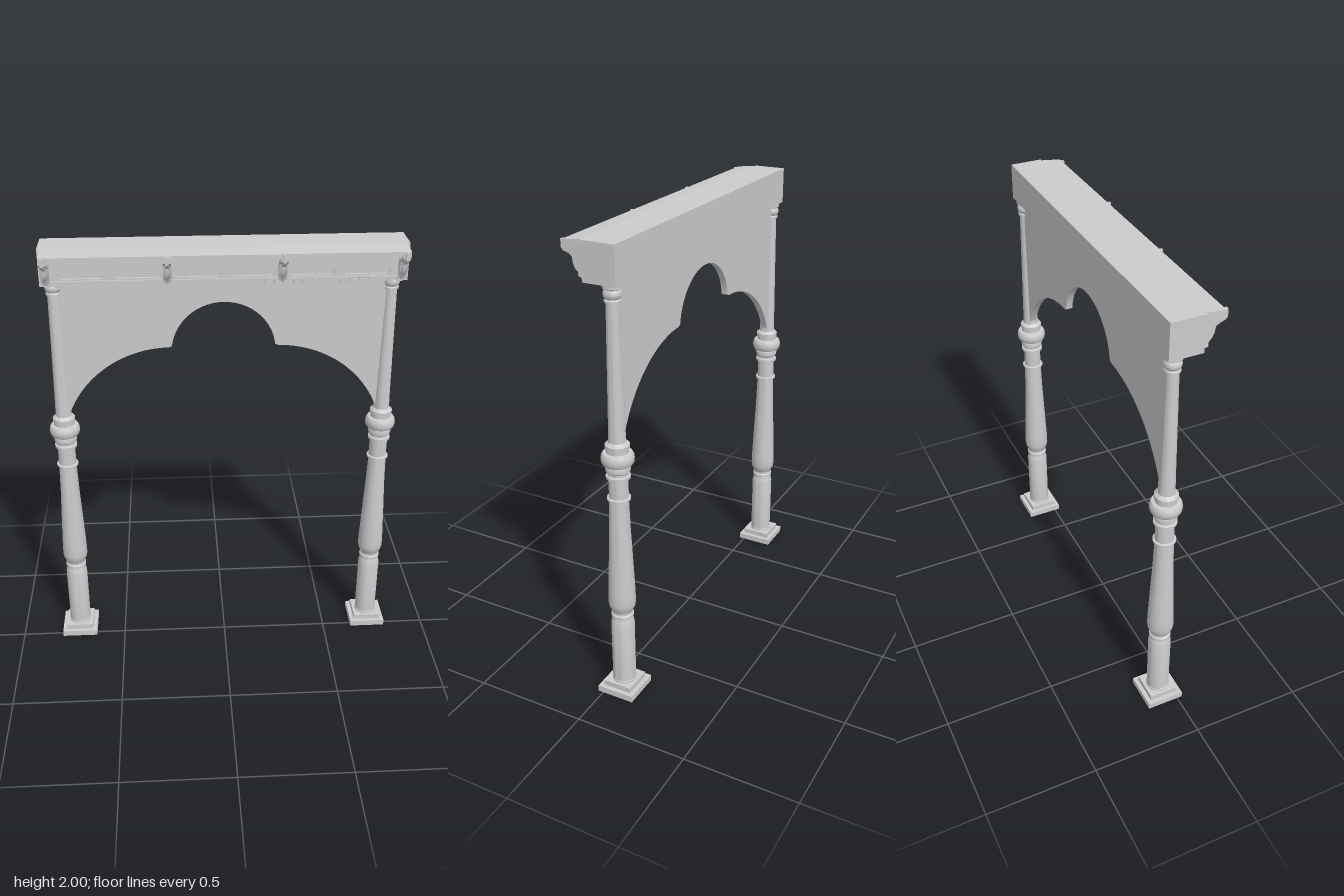
import * as THREE from 'three';
import { toCreasedNormals } from 'three/addons/utils/BufferGeometryUtils.js';

const material = new THREE.MeshStandardMaterial({ color: 0xcccccc });
const COL_X = 0.722, COL_Z = -0.06;

function add(parent, name, geometry, x = 0, y = 0, z = 0) {
  const mesh = new THREE.Mesh(geometry, material);
  mesh.name = name;
  mesh.position.set(x, y, z);
  parent.add(mesh);
  return mesh;
}

const vec = (pts) => pts.map(([x, y]) => new THREE.Vector2(x, y));

function extrude(shape, depth) {
  const g = new THREE.ExtrudeGeometry(shape, { depth, bevelEnabled: false, curveSegments: 10 });
  return toCreasedNormals(g, 0.5);
}

// Profile given as [z, y], swept along x and centred.
function sweepX(profile, width) {
  const g = extrude(new THREE.Shape(vec(profile)), width);
  g.translate(0, 0, -width / 2);
  g.rotateY(-Math.PI / 2);
  return g;
}

// Left half of the cusped arch, from the crown side down to x = endX.
function archPoints(r, R, startX, endX) {
  const c1 = new THREE.Vector2(0, 1.497), c2 = new THREE.Vector2(-0.235, 1.03);
  const pts = [], n = 48;
  const a0 = Math.acos(startX / r), a1 = Math.PI * 1.05;
  for (let i = 0; i <= n; i++) {
    const a = a0 + (a1 - a0) * i / n;
    const p = new THREE.Vector2(r * Math.cos(a), c1.y + r * Math.sin(a));
    if (p.distanceTo(c2) >= R - 0.001) pts.push(p);
  }
  const b0 = Math.PI / 2 - 0.2, b1 = Math.acos((endX - c2.x) / R);
  for (let i = 0; i <= n; i++) {
    const b = b0 + (b1 - b0) * i / n;
    const p = new THREE.Vector2(c2.x + R * Math.cos(b), c2.y + R * Math.sin(b));
    if (p.distanceTo(c1) > r + 0.001) pts.push(p);
  }
  return pts;
}

const mirrored = (pts) => pts.map((p) => new THREE.Vector2(-p.x, p.y)).reverse();

// Closed outline of the spandrel moulding, inset by d.
function frameLoop(d) {
  const left = -0.66 + d, right = -0.06 - d, top = 1.826 - d;
  return [new THREE.Vector2(left, top), new THREE.Vector2(right, top),
    ...archPoints(0.268 + d, 0.527 + d, right, left)];
}

function frameShape(d0, d1, flip) {
  const side = (pts) => (flip ? mirrored(pts) : pts);
  const shape = new THREE.Shape(side(frameLoop(d0)));
  shape.holes.push(new THREE.Path(side(frameLoop(d1))));
  return shape;
}

// Ogee-topped ornament outline centred at x.
function ogee(x) {
  const p = new THREE.Path();
  p.moveTo(x - 0.085, 1.874);
  p.lineTo(x + 0.085, 1.874);
  p.bezierCurveTo(x + 0.115, 1.892, x + 0.085, 1.924, x + 0.05, 1.924);
  p.quadraticCurveTo(x + 0.015, 1.926, x, 1.946);
  p.quadraticCurveTo(x - 0.015, 1.926, x - 0.05, 1.924);
  p.bezierCurveTo(x - 0.085, 1.924, x - 0.115, 1.892, x - 0.085, 1.874);
  return p;
}

function column(x) {
  const g = new THREE.Group();
  g.name = x > 0 ? 'leftColumn' : 'rightColumn';
  g.position.set(x, 0, COL_Z);
  add(g, 'basePlinth', new THREE.BoxGeometry(0.168, 0.028, 0.168), 0, 0.014, 0);
  add(g, 'baseStep', new THREE.BoxGeometry(0.13, 0.024, 0.13), 0, 0.04, 0);
  // Turned shaft: radius, height
  const profile = [
    [0, 0.05], [0.052, 0.05], [0.052, 0.06], [0.05, 0.062], [0.05, 0.345], [0.046, 0.362], [0.042, 0.373],
    [0.042, 0.378], [0.048, 0.381], [0.048, 0.392], [0.043, 0.396], [0.042, 0.405], [0.048, 0.417],
    [0.055, 0.43], [0.058, 0.45], [0.057, 0.5], [0.052, 0.62], [0.044, 0.8], [0.04, 0.94],
    [0.049, 0.941], [0.049, 0.949], [0.04, 0.952], [0.04, 1.036],
    [0.05, 1.038], [0.05, 1.05], [0.043, 1.054], [0.043, 1.064], [0.05, 1.07], [0.052, 1.085], [0.048, 1.095],
    [0.06, 1.1], [0.066, 1.11], [0.068, 1.125], [0.066, 1.14], [0.06, 1.15],
    [0.046, 1.153], [0.046, 1.168], [0.05, 1.17], [0.05, 1.186], [0.036, 1.198],
    [0.034, 1.26], [0.027, 1.74], [0.027, 1.768], [0.033, 1.77], [0.033, 1.778], [0.029, 1.783],
    [0.034, 1.79], [0.037, 1.802], [0.034, 1.814], [0.03, 1.819], [0.038, 1.824], [0.038, 1.845], [0, 1.845],
  ];
  add(g, 'turnedShaft', toCreasedNormals(new THREE.LatheGeometry(vec(profile), 32), 0.6));
  return g;
}

function arch() {
  const g = new THREE.Group();
  g.name = 'archPanel';
  const half = archPoints(0.228, 0.49, 0, -0.697);
  const outline = [new THREE.Vector2(-0.722, 1.845), new THREE.Vector2(0.722, 1.845),
    new THREE.Vector2(0.722, 1.2), ...mirrored(half), ...half.slice(1), new THREE.Vector2(-0.722, 1.2)];
  add(g, 'spandrelBoard', extrude(new THREE.Shape(outline), 0.03), 0, 0, -0.075);
  // Stepped raised frame on each side
  for (const flip of [false, true]) {
    add(g, 'outerMoulding', extrude(frameShape(0, 0.013, flip), 0.016), 0, 0, -0.046);
    add(g, 'innerMoulding', extrude(frameShape(0.012, 0.024, flip), 0.008), 0, 0, -0.046);
  }
  return g;
}

function entablature() {
  const g = new THREE.Group();
  g.name = 'entablature';
  add(g, 'beam', new THREE.BoxGeometry(1.53, 0.16, 0.144), 0, 1.92, -0.029);

  // Pierced fascia with six ogee ornaments
  const fascia = new THREE.Shape(vec([[-0.763, 1.859], [0.763, 1.859], [0.763, 1.995], [-0.763, 1.995]]));
  for (const x of [0.115, 0.357, 0.59]) fascia.holes.push(ogee(x), ogee(-x));
  add(g, 'fascia', extrude(fascia, 0.012), 0, 0, 0.042);

  // Row of dentils under the fascia
  const count = 38, pitch = 1.5 / count;
  for (let i = 0; i < count; i++) {
    add(g, 'dentil', new THREE.BoxGeometry(pitch * 0.6, 0.022, 0.01), (i - (count - 1) / 2) * pitch, 1.849, 0.047);
  }
  add(g, 'dentilRail', new THREE.BoxGeometry(1.52, 0.008, 0.018), 0, 1.863, 0.052);

  // Stepped crown moulding
  add(g, 'cornice', sweepX([[0.04, 2], [0.04, 1.945], [0.062, 1.947], [0.09, 1.953], [0.113, 1.958],
    [0.113, 1.972], [0.131, 1.974], [0.131, 1.99], [0.043, 2]].reverse(), 1.506));

  // Scrolled brackets with a narrow centre rib
  const body = [[0.045, 1.985], [0.128, 1.985], [0.128, 1.957], [0.112, 1.945], [0.09, 1.935],
    [0.083, 1.915], [0.079, 1.893], [0.066, 1.875], [0.06, 1.856], [0.045, 1.856]].reverse();
  const rib = [[0.045, 1.988], [0.144, 1.988], [0.144, 1.955], [0.133, 1.943], [0.11, 1.937], [0.097, 1.925],
    [0.093, 1.9], [0.085, 1.882], [0.07, 1.868], [0.064, 1.85], [0.045, 1.85]].reverse();
  for (const x of [-0.737, -0.238, 0.238, 0.737]) {
    add(g, 'bracket', sweepX(body, 0.034), x);
    add(g, 'bracketRib', sweepX(rib, 0.014), x);
  }
  return g;
}

export function createModel() {
  const model = new THREE.Group();
  model.name = 'archway';
  model.add(column(COL_X), column(-COL_X), arch(), entablature());
  return model;
}
